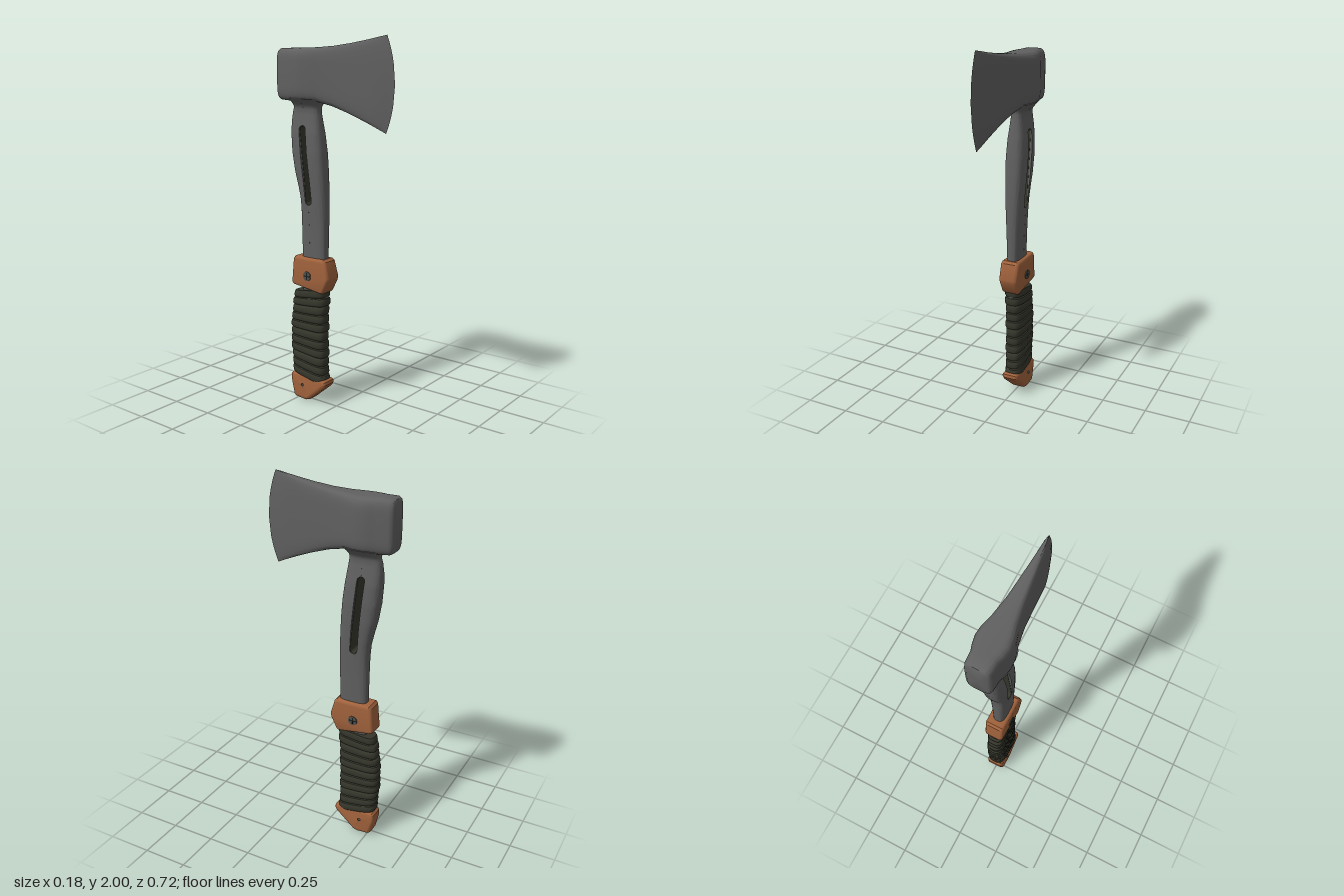
import * as THREE from 'three';
import { toCreasedNormals } from 'three/addons/utils/BufferGeometryUtils.js';

const mat = (name, color, side = THREE.FrontSide) => {
  const m = new THREE.MeshStandardMaterial({ color, side });
  m.name = name;
  return m;
};

// linear lookup in rows of [key, a, b, ...]
function lookup(rows, k) {
  let i = 0;
  while (i < rows.length - 2 && k > rows[i + 1][0]) i++;
  const a = rows[i], b = rows[i + 1];
  const t = THREE.MathUtils.clamp((k - a[0]) / (b[0] - a[0]), 0, 1);
  return a.map((v, j) => v + (b[j] - v) * t);
}

// unit superellipse, points as [u, v]
function superellipse(n, count) {
  const p = (v) => Math.sign(v) * Math.abs(v) ** (2 / n);
  return Array.from({ length: count }, (_, i) => {
    const a = (i / count) * Math.PI * 2;
    return [p(Math.cos(a)), p(Math.sin(a))];
  });
}

// closed, capped skin over rings of [x, y, z] points
function loft(rings, crease = 0.6) {
  const n = rings[0].length, pos = rings.flat(2), idx = [];
  for (let r = 0; r < rings.length - 1; r++) {
    for (let i = 0; i < n; i++) {
      const a = r * n + i, b = r * n + (i + 1) % n;
      idx.push(a, a + n, b, b, a + n, b + n);
    }
  }
  [0, rings.length - 1].forEach((r, end) => {
    const c = [0, 1, 2].map((k) => rings[r].reduce((s, p) => s + p[k], 0) / n);
    const ci = pos.length / 3;
    pos.push(...c);
    for (let i = 0; i < n; i++) {
      const a = r * n + i, b = r * n + (i + 1) % n;
      if (end) idx.push(ci, b, a); else idx.push(ci, a, b);
    }
  });
  const g = new THREE.BufferGeometry();
  g.setAttribute('position', new THREE.Float32BufferAttribute(pos, 3));
  g.setIndex(idx);
  return toCreasedNormals(g, crease);
}

// side outline in (z, y), extruded across x
function sidePlate(shape, halfX, bevel) {
  const depth = 2 * (halfX - bevel);
  const g = new THREE.ExtrudeGeometry(shape, {
    depth, curveSegments: 24, bevelEnabled: bevel > 0, bevelThickness: bevel,
    bevelSize: bevel, bevelOffset: -bevel, bevelSegments: 4,
  });
  g.translate(0, 0, -depth / 2);
  g.rotateY(-Math.PI / 2);
  return toCreasedNormals(g, 0.6);
}
const outline = (pts) => new THREE.Shape(pts.map(([z, y]) => new THREE.Vector2(z, y)));

// long slot in the handle
const SLOT = { y0: 1.12, y1: 1.545, r: 0.021 };
const slotZ = (y) => lookup([[1.13, -0.153], [1.25, -0.162], [1.4, -0.178], [1.53, -0.191]], y)[1];
function slotGap(y) {
  const d = Math.min(y - SLOT.y0, SLOT.y1 - y), r = SLOT.r;
  if (d <= 1e-6) return 0;
  return d < r ? Math.sqrt(r * r - (r - d) ** 2) : r;
}
const slotRows = Array.from({ length: 41 }, (_, j) =>
  (SLOT.y0 + SLOT.y1) / 2 - (SLOT.y1 - SLOT.y0) / 2 * Math.cos(Math.PI * j / 40));
function slotLoop(grow) {
  const mid = (SLOT.y0 + SLOT.y1) / 2, s = 1 + grow / (mid - SLOT.y0);
  const edge = (sgn) => slotRows.map((y) =>
    new THREE.Vector2(slotZ(y) + sgn * slotGap(y) * (1 + grow / SLOT.r), mid + (y - mid) * s));
  return [...edge(1), ...edge(-1).reverse().slice(1, -1)];
}

// y, front z, back z, half width
const HANDLE = [
  [0.6, -0.065, -0.22, 0.034], [0.83, -0.065, -0.22, 0.035], [1.0, -0.062, -0.221, 0.04],
  [1.1, -0.062, -0.222, 0.045], [1.16, -0.063, -0.227, 0.048], [1.22, -0.065, -0.24, 0.051],
  [1.3, -0.069, -0.261, 0.055], [1.4, -0.077, -0.278, 0.057], [1.5, -0.09, -0.286, 0.052],
  [1.56, -0.1, -0.286, 0.044], [1.61, -0.108, -0.28, 0.038], [1.64, -0.11, -0.27, 0.04],
  [1.66, -0.1, -0.275, 0.055], [1.685, -0.08, -0.29, 0.08],
];
// front (side 1) or back (side -1) half of the handle, split along the slot
function handleHalf(side) {
  const span = (a, b, n) => Array.from({ length: n }, (_, i) => a + (b - a) * i / n);
  const ys = [...span(0.6, SLOT.y0, 16), ...slotRows, ...span(1.685, SLOT.y1, 14).reverse()];
  const ring = superellipse(3.2, 40);
  return loft(ys.map((y) => {
    const [, zf, zb, w] = lookup(HANDLE, y);
    const wall = slotZ(y) + side * slotGap(y);
    return ring.map(([u, v]) => {
      const z = (zf + zb) / 2 + v * (zf - zb) / 2;
      return [u * w, y, side > 0 ? Math.max(z, wall) : Math.min(z, wall)];
    });
  }));
}

// z, forward bulge, top, bottom, half width
const HEAD = [
  [-0.356, 0, 1.925, 1.695, 0.05], [-0.35, 0, 1.938, 1.682, 0.061], [-0.335, 0, 1.945, 1.674, 0.067],
  [-0.28, 0, 1.945, 1.67, 0.07], [-0.25, 0, 1.945, 1.67, 0.08], [-0.205, 0, 1.945, 1.67, 0.089],
  [-0.16, 0, 1.945, 1.67, 0.085], [-0.1, 0, 1.946, 1.67, 0.067], [0, 0, 1.952, 1.646, 0.048],
  [0.1, 0.01, 1.964, 1.612, 0.036], [0.2, 0.025, 1.98, 1.572, 0.023],
  [0.28, 0.042, 1.995, 1.537, 0.012], [0.31, 0.049, 2.0, 1.523, 0],
];
function headGeometry() {
  const ring = superellipse(5, 48);
  return loft(HEAD.map(([z, bulge, top, bot, w]) => ring.map(([u, v]) =>
    [u * w, (top + bot) / 2 - v * (top - bot) / 2, z + bulge * (1 - v * v)])), 0.7);
}

// y, front z, back z of the wrapped grip
const GRIP = [
  [0.12, -0.062, -0.285], [0.2, -0.067, -0.292], [0.3, -0.068, -0.301],
  [0.4, -0.068, -0.302], [0.5, -0.066, -0.296], [0.58, -0.06, -0.285], [0.67, -0.06, -0.268],
];
function gripGeometry() {
  const bands = 11, ring = superellipse(3.5, 40), rings = [];
  const profile = [[0, 0.009], [0.08, 0.003], [0.25, 0], [0.75, 0], [0.92, 0.003]];
  for (let b = 0; b < bands; b++) {
    const extra = (b % 3) * 0.0015;
    for (const [f, inset] of profile) {
      const y = 0.135 + 0.515 * (b + f) / bands;
      const [, zf, zb] = lookup(GRIP, y);
      // strands lean one way low on the grip and the other way higher up
      const lean = THREE.MathUtils.lerp(0.02, -0.014, (y - 0.135) / 0.515);
      const d = (zf - zb) / 2 - inset - extra;
      rings.push(ring.map(([u, v]) => [u * (0.052 - inset - extra), y - v * lean, (zf + zb) / 2 + v * d]));
    }
  }
  return loft(rings, 0.7);
}

export function createModel() {
  const steel = mat('steel', 0x606060);
  const leather = mat('orange brown scales', 0xa0623c);
  const cord = mat('dark olive wrap', 0x36372c);
  const hardware = mat('screw metal', 0x4c504c, THREE.DoubleSide);
  const black = mat('screw slot black', 0x1c1c1a);

  const model = new THREE.Group();
  model.name = 'hatchet';
  const add = (name, geo, material, parent = model) => {
    const m = new THREE.Mesh(geo, material);
    m.name = name;
    parent.add(m);
    return m;
  };

  add('axeHead', headGeometry(), steel);
  add('handleFront', handleHalf(1), steel);
  add('handleBack', handleHalf(-1), steel);

  // dark lining inside the slot
  const lining = new THREE.Shape(slotLoop(0.001));
  lining.holes.push(new THREE.Path(slotLoop(-0.002)));
  add('slotLining', sidePlate(lining, 0.044, 0), cord);

  add('gripWrap', gripGeometry(), cord);

  // collar
  add('collar', sidePlate(outline([
    [-0.045, 0.82], [-0.02, 0.735], [-0.024, 0.715], [-0.058, 0.648], [-0.068, 0.641], [-0.262, 0.668],
    [-0.275, 0.68], [-0.274, 0.695], [-0.262, 0.818], [-0.25, 0.832], [-0.06, 0.832],
  ].reverse()), 0.054, 0.018), leather);

  // pommel with lanyard hole
  const pommel = outline([
    [-0.05, 0.135], [-0.047, 0.118], [-0.06, 0.098], [-0.165, 0.008], [-0.19, 0], [-0.258, 0.006],
    [-0.272, 0.018], [-0.291, 0.1], [-0.291, 0.138], [-0.28, 0.15], [-0.06, 0.142],
  ]);
  const hole = new THREE.Path();
  hole.absarc(-0.205, 0.09, 0.028, 0, Math.PI * 2, true);
  pommel.holes.push(hole);
  add('pommel', sidePlate(pommel, 0.049, 0.02), leather);
  const eyelet = add('eyelet', new THREE.CylinderGeometry(0.027, 0.027, 0.084, 24, 1, true), hardware);
  eyelet.rotation.z = Math.PI / 2;
  eyelet.position.set(0, 0.09, -0.205);

  for (const s of [1, -1]) {
    const rim = add('eyeletRim', new THREE.TorusGeometry(0.03, 0.005, 8, 28), hardware);
    rim.rotation.y = Math.PI / 2;
    rim.position.set(s * 0.042, 0.09, -0.205);

    // cross-head screw on each side of the collar
    const screw = new THREE.Group();
    screw.name = 'screw';
    screw.position.set(s * 0.054, 0.73, -0.16);
    add('screwHead', new THREE.CylinderGeometry(0.026, 0.026, 0.008, 24), hardware, screw).rotation.z = Math.PI / 2;
    add('screwSlotTall', new THREE.BoxGeometry(0.009, 0.038, 0.006), black, screw);
    add('screwSlotWide', new THREE.BoxGeometry(0.009, 0.006, 0.038), black, screw);
    model.add(screw);
  }
  return model;
}
